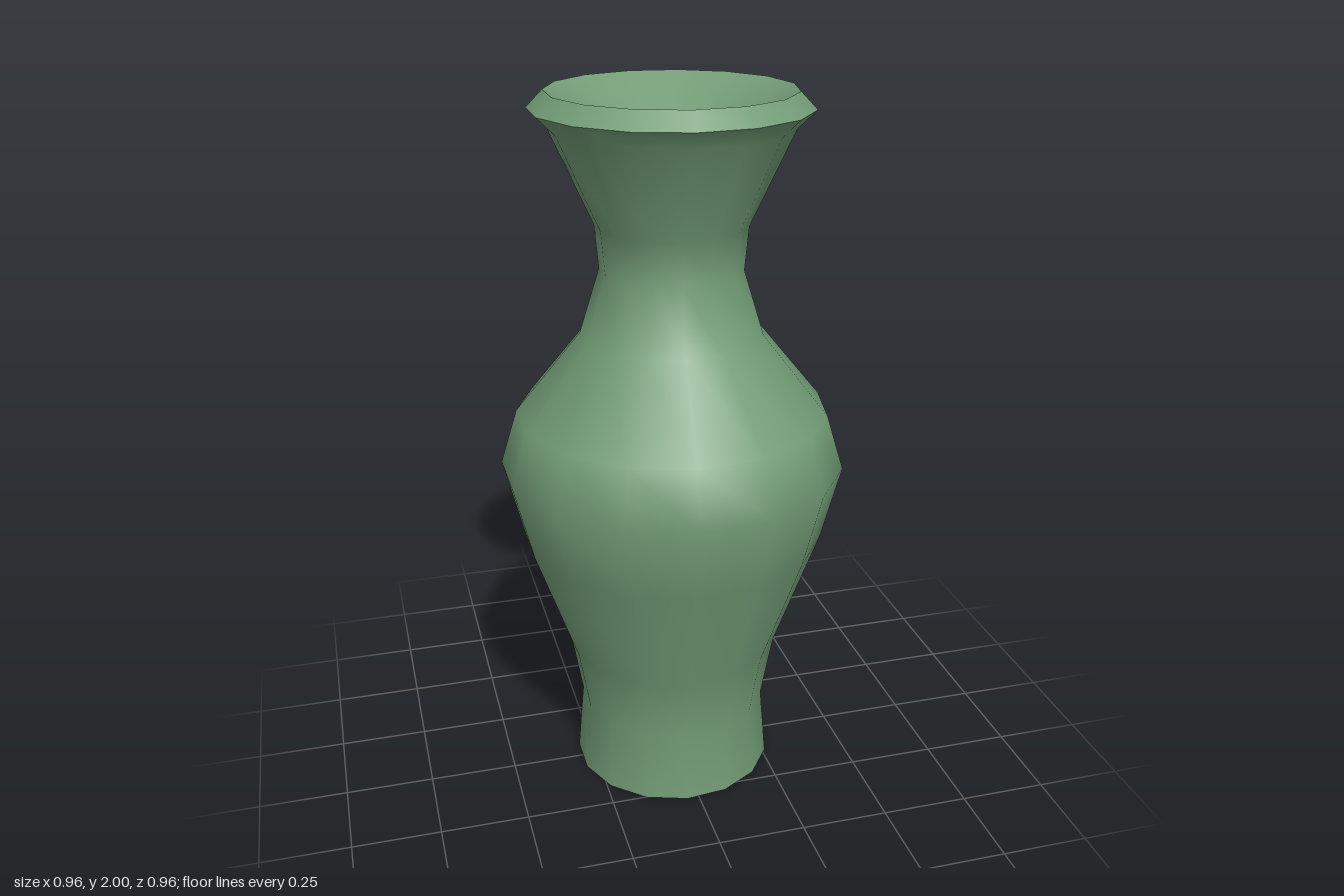
import * as THREE from 'three';

const SIDES = 15;

export function createModel() {
  const vase = new THREE.Group();
  vase.name = 'vase';
  const glaze = new THREE.MeshStandardMaterial({ color: 0x729c76 });

  // Each section is turned on its own, so edges between sections stay sharp.
  const turn = (name, profile) => {
    const points = profile.map(([r, y]) => new THREE.Vector2(r, y));
    const mesh = new THREE.Mesh(new THREE.LatheGeometry(points, SIDES, Math.PI / 2), glaze);
    mesh.name = name;
    mesh.position.x = -0.005; // centres the odd-sided outline
    vase.add(mesh);
  };

  // Flat underside
  turn('base', [[0, 0], [0.29, 0]]);

  // Foot, belly, shoulder, neck and flared mouth
  turn('body', [
    [0.29, 0], [0.272, 0.21], [0.305, 0.4], [0.428, 0.75], [0.483, 0.97],
    [0.435, 1.125], [0.252, 1.35], [0.196, 1.53], [0.207, 1.65],
    [0.323, 1.905], [0.374, 1.955],
  ]);

  // Bevelled lip
  turn('lip', [[0.374, 1.955], [0.33, 2]]);

  // Shallow funnel inside the mouth and its flat floor
  turn('mouthFunnel', [[0.33, 2], [0.137, 1.9]]);
  turn('mouthFloor', [[0.137, 1.9], [0, 1.9]]);

  return vase;
}
